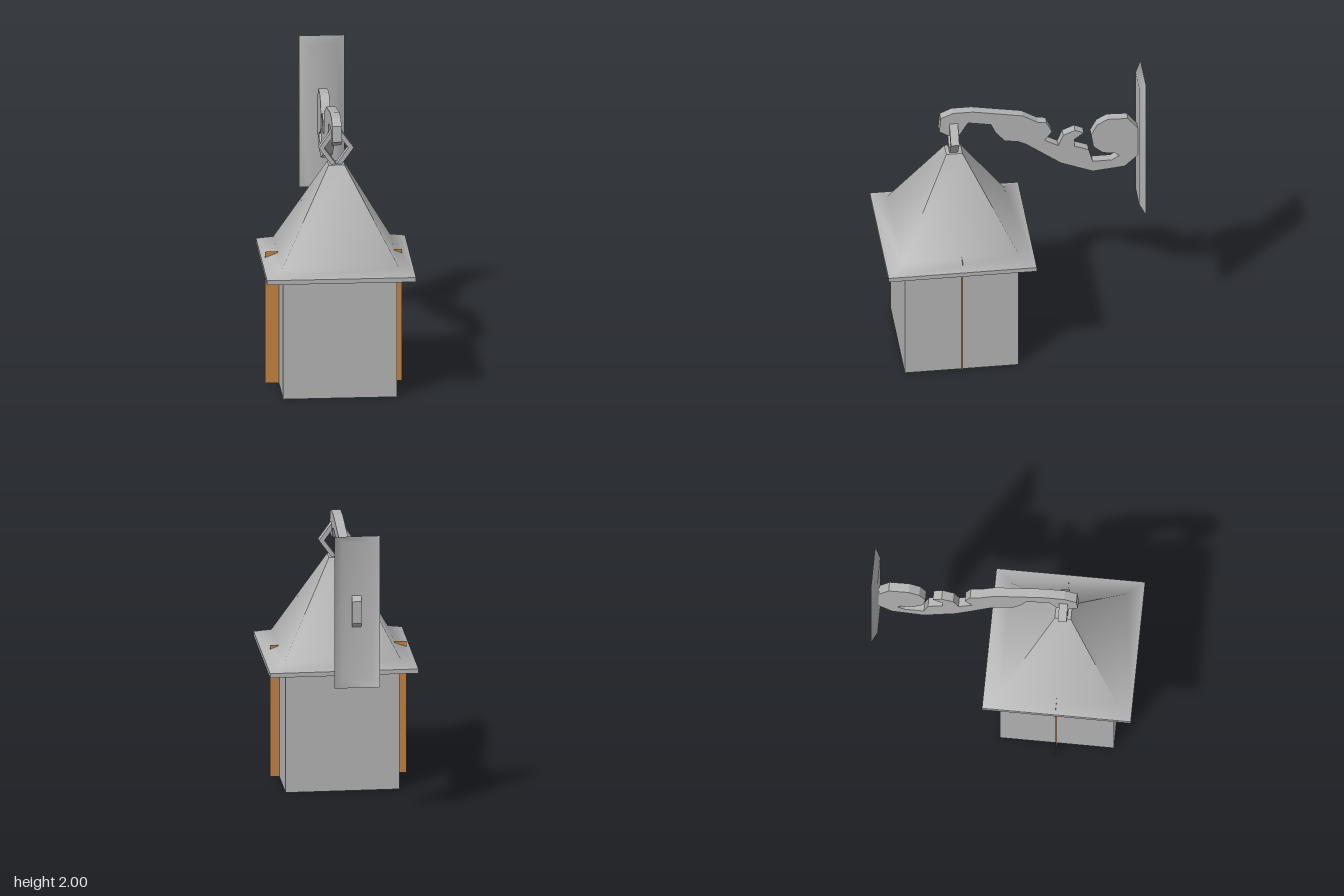
import * as THREE from 'three';

const metal = new THREE.MeshStandardMaterial({ color: 0xb4b4b4 });
metal.name = 'grey metal';
const hollowMetal = metal; // one grey for every metal part
hollowMetal.side = THREE.DoubleSide;
const copper = new THREE.MeshStandardMaterial({ color: 0xc28244, side: THREE.DoubleSide });
copper.name = 'copper orange';

const CORNERS = [[1, 1], [1, -1], [-1, -1], [-1, 1]];

// Rectangular rings [halfX, halfZ, y] joined bottom to top and capped, open below.
// Corners are shared (smooth); sharpTop splits the last ring so its edges stay crisp.
function hippedShell(rings, sharpTop) {
  const pos = [], index = [];
  const add = ([hx, hz, y], i) => {
    const [sx, sz] = CORNERS[i % 4];
    pos.push(sx * hx, y, sz * hz);
    return pos.length / 3 - 1;
  };
  const quad = (a, b, c, d) => index.push(a, b, c, a, c, d);
  const last = rings.length - 1;
  const shared = rings.map((r) => CORNERS.map((_, i) => add(r, i)));
  for (let k = 0; k < last; k++) {
    for (let i = 0; i < 4; i++) {
      const j = (i + 1) % 4;
      const split = sharpTop && k + 1 === last;
      const c = split ? add(rings[last], j) : shared[k + 1][j];
      const d = split ? add(rings[last], i) : shared[k + 1][i];
      quad(shared[k][i], shared[k][j], c, d);
    }
  }
  quad(...shared[last]);
  const geo = new THREE.BufferGeometry();
  geo.setAttribute('position', new THREE.Float32BufferAttribute(pos, 3));
  geo.setIndex(index);
  geo.computeVertexNormals();
  return geo;
}

// Flat outline extruded to a depth centred on its own plane
function slab(points, depth, hole) {
  const toV = (p) => new THREE.Vector2(p[0], p[1]);
  const shape = new THREE.Shape(points.map(toV));
  if (hole) shape.holes.push(new THREE.Path(hole.map(toV)));
  const geo = new THREE.ExtrudeGeometry(shape, { depth, bevelEnabled: false });
  return geo.translate(0, 0, -depth / 2);
}

export function createModel() {
  const model = new THREE.Group();
  model.name = 'hangingWallLantern';
  const part = (name, geo, mat, x, y, z) => {
    const mesh = new THREE.Mesh(geo, mat);
    mesh.name = name;
    mesh.position.set(x, y, z);
    model.add(mesh);
    return mesh;
  };

  // Lantern box
  part('lanternBody', new THREE.BoxGeometry(0.75, 0.83, 0.75), metal, 0, 0.415, 0.376);

  // Thin sheet whose edges stand out of both sides of the body
  part('sideFins', new THREE.PlaneGeometry(0.9, 0.9), copper, -0.015, 0.45, 0.376);

  // Roof: flat rim, shallow flare, steep hips
  part('roofRim', new THREE.BoxGeometry(0.98, 0.03, 0.98), metal, 0, 0.835, 0.383);
  part('roof', hippedShell([[0.49, 0.49, 0.85], [0.384, 0.384, 0.892], [0.053, 0.053, 1.5]], true),
    metal, 0, 0, 0.383);

  // Diamond link between roof and hook
  const diamond = (w, h) => [[w, 0], [0, h], [-w, 0], [0, -h]];
  part('hangingLink', slab(diamond(0.115, 0.16), 0.056, diamond(0.08, 0.11)), metal, 0, 1.61, 0.385);

  // Scrolled arm, outline given as (z, y)
  const arm = slab([
    [0.48, 1.67], [0.47, 1.775], [0.39, 1.81], [0.26, 1.81], [-0.07, 1.75], [-0.17, 1.69],
    [-0.23, 1.68], [-0.265, 1.605], [-0.217, 1.54], [-0.307, 1.49], [-0.34, 1.57],
    [-0.418, 1.603], [-0.476, 1.577], [-0.413, 1.53], [-0.413, 1.476], [-0.508, 1.44],
    [-0.534, 1.344], [-0.66, 1.344], [-0.71, 1.375], [-0.683, 1.397], [-0.603, 1.407],
    [-0.54, 1.46], [-0.524, 1.556], [-0.566, 1.635], [-0.635, 1.672], [-0.767, 1.667],
    [-0.83, 1.587], [-0.862, 1.55], [-0.862, 1.4], [-0.83, 1.365], [-0.746, 1.286],
    [-0.534, 1.265], [-0.323, 1.35], [-0.095, 1.519], [-0.042, 1.545], [0.048, 1.56],
    [0.11, 1.635], [0.138, 1.698], [0.29, 1.725], [0.344, 1.635], [0.415, 1.63],
  ], 0.062).rotateY(-Math.PI / 2);
  part('scrollArm', arm, metal, 0, 0, 0);

  // Bevelled wall plate, hollow at the back
  const plate = hippedShell([[0.15, 0.5185, 0], [0.09, 0.468, 0.04]], false).rotateX(Math.PI / 2);
  part('wallPlate', plate, hollowMetal, 0, 1.4815, -0.873);

  return model;
}
